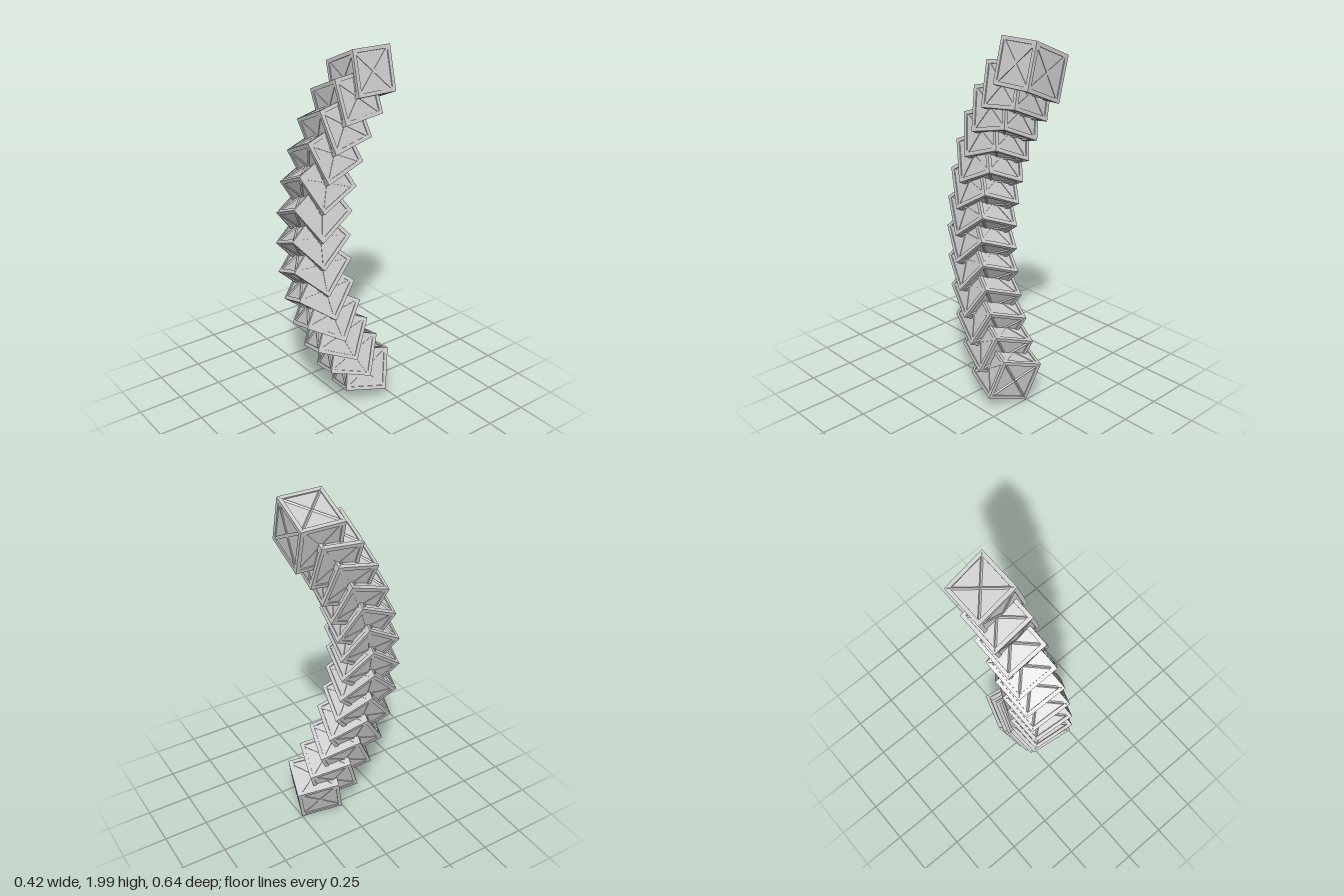
import * as THREE from 'three';
import { mergeGeometries } from 'three/addons/utils/BufferGeometryUtils.js';

const CELLS = 13;
const SIZE = 0.24;
const BAR = 0.02;
const H = SIZE / 2 - BAR / 2;

// Square bar of given thickness between two points
function bar(a, b, thickness, roll = 0) {
  const dir = b.clone().sub(a);
  const g = new THREE.BoxGeometry(thickness, dir.length(), thickness);
  g.rotateY(roll);
  g.applyQuaternion(new THREE.Quaternion().setFromUnitVectors(new THREE.Vector3(0, 1, 0), dir.clone().normalize()));
  const m = a.clone().add(b).multiplyScalar(0.5);
  return g.translate(m.x, m.y, m.z);
}

// Point with coordinate w on one axis and u, v on the next two
function onAxis(axis, w, u, v) {
  const p = new THREE.Vector3();
  p.setComponent(axis, w);
  p.setComponent((axis + 1) % 3, u);
  p.setComponent((axis + 2) % 3, v);
  return p;
}

// Twelve edges of the cube
function frameGeometry() {
  const parts = [];
  for (let axis = 0; axis < 3; axis++)
    for (const u of [-H, H])
      for (const v of [-H, H])
        parts.push(bar(onAxis(axis, -SIZE / 2, u, v), onAxis(axis, SIZE / 2, u, v), BAR));
  return mergeGeometries(parts);
}

// A crossed pair of braces on each face
function braceGeometry() {
  const parts = [];
  for (let axis = 0; axis < 3; axis++)
    for (const w of [-H, H])
      for (const s of [-1, 1])
        parts.push(bar(onAxis(axis, w, -H, -H * s), onAxis(axis, w, H, H * s), BAR * 0.75));
  return mergeGeometries(parts);
}

export function createModel() {
  const model = new THREE.Group();
  model.name = 'curvedTrussColumn';
  const material = new THREE.MeshStandardMaterial({ color: 0xcccccc, flatShading: true });

  const shapes = {
    panels: new THREE.BoxGeometry(SIZE - 0.012, SIZE - 0.012, SIZE - 0.012),
    frame: frameGeometry(),
    braces: braceGeometry(),
  };

  // Orientation of the top and bottom cells
  const topTurn = new THREE.Quaternion().setFromAxisAngle(new THREE.Vector3(0, 0, 1), 0.32);
  const bottomTurn = new THREE.Quaternion().setFromRotationMatrix(new THREE.Matrix4().makeBasis(
    new THREE.Vector3(0.92, 0.30, 0.26).normalize(),
    new THREE.Vector3(-0.313, 0.149, 0.937).normalize(),
    new THREE.Vector3(0.24, -0.94, 0.23).normalize()));

  // Cells overlap along an arc, each turned a little further
  for (let i = 0; i < CELLS; i++) {
    const t = i / (CELLS - 1);
    const a = THREE.MathUtils.degToRad(THREE.MathUtils.lerp(41.6, -37.3, t));
    const centre = new THREE.Vector3(
      -0.047 + 0.095 * t * t,
      0.97 + 1.31 * Math.sin(a),
      -1.175 + 1.31 * Math.cos(a));
    const k = 0.075 * (1 - t); // slight skew, fading downwards
    const matrix = new THREE.Matrix4()
      .compose(centre, topTurn.clone().slerp(bottomTurn, t), new THREE.Vector3(1, 1, 1))
      .multiply(new THREE.Matrix4().set(1, k, 0, 0, k, 1, 0, 0, 0, 0, 1, 0, 0, 0, 0, 1));

    const cell = new THREE.Group();
    cell.name = `trussCell${i + 1}`;
    for (const [name, geometry] of Object.entries(shapes)) {
      const mesh = new THREE.Mesh(geometry.clone().applyMatrix4(matrix), material);
      mesh.name = name;
      cell.add(mesh);
    }
    model.add(cell);
  }
  return model;
}
